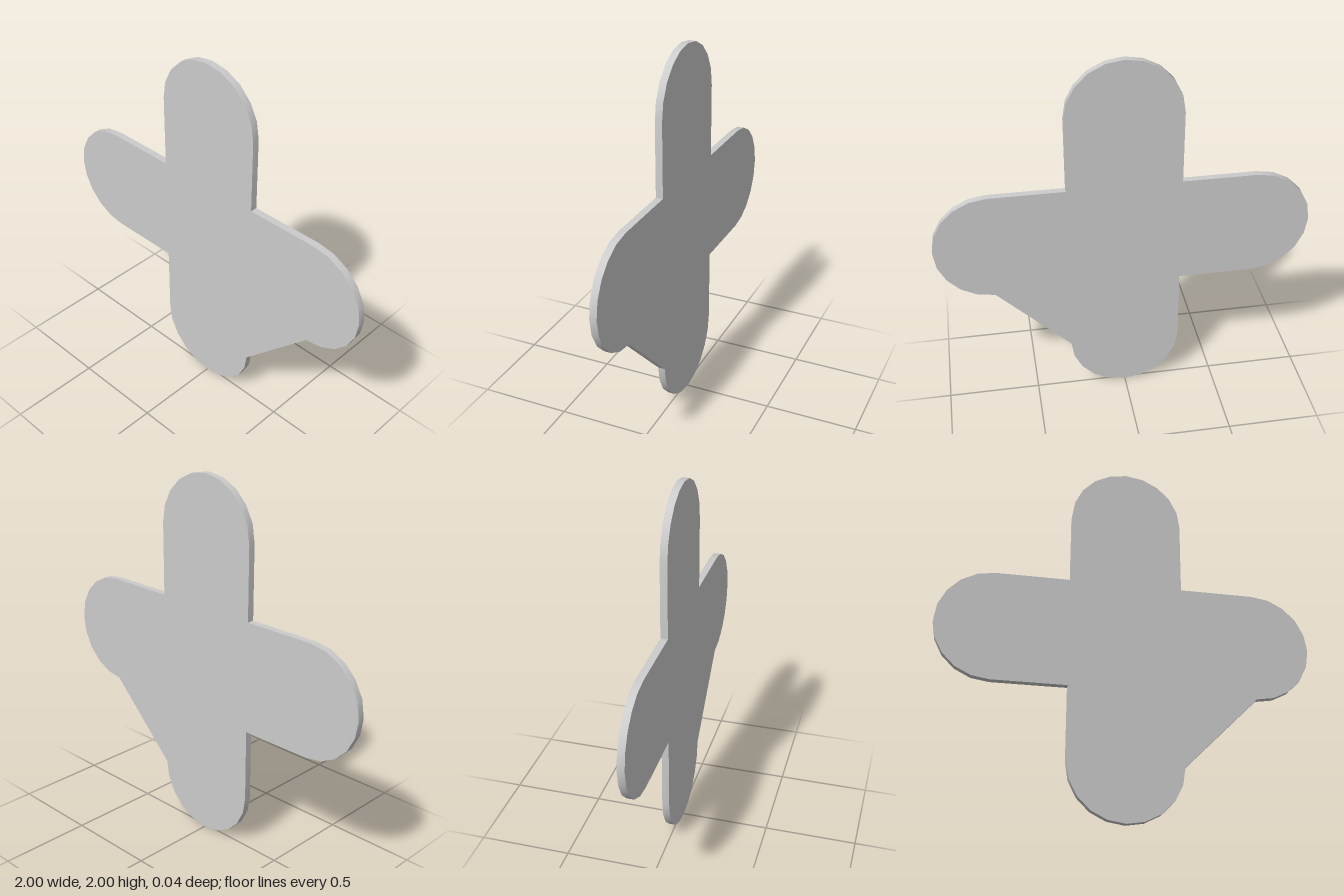
import * as THREE from 'three';
import { toCreasedNormals } from 'three/addons/utils/BufferGeometryUtils.js';

const HALF_WIDTH = 0.302; // half the width of an arm, also its end radius
const REACH = 1;          // centre to tip of an arm
const THICKNESS = 0.038;

// Outline of four equal round-ended arms, counter-clockwise
function crossOutline() {
  const shape = new THREE.Shape();
  const centre = REACH - HALF_WIDTH;
  for (let i = 0; i < 4; i++) {
    const a = (i * Math.PI) / 2;
    const c = Math.round(Math.cos(a));
    const s = Math.round(Math.sin(a));
    // inner corner before this arm
    const x = HALF_WIDTH * (c + s);
    const y = HALF_WIDTH * (s - c);
    if (i === 0) shape.moveTo(x, y);
    else shape.lineTo(x, y);
    // rounded end
    shape.absarc(centre * c, centre * s, HALF_WIDTH, a - Math.PI / 2, a + Math.PI / 2, false);
  }
  shape.closePath();
  return shape;
}

export function createModel() {
  const group = new THREE.Group();
  group.name = 'roundedCross';

  // Flat plate: ten segments per rounded end
  const geometry = new THREE.ExtrudeGeometry(crossOutline(), {
    depth: THICKNESS,
    bevelEnabled: false,
    curveSegments: 5,
  });
  geometry.translate(0, REACH, -THICKNESS / 2);

  // Smooth around the rounded ends, sharp at the rims and inner corners
  const plate = new THREE.Mesh(
    toCreasedNormals(geometry, Math.PI / 6),
    new THREE.MeshStandardMaterial({ color: 0xcccccc })
  );
  plate.name = 'crossPlate';
  group.add(plate);
  return group;
}
